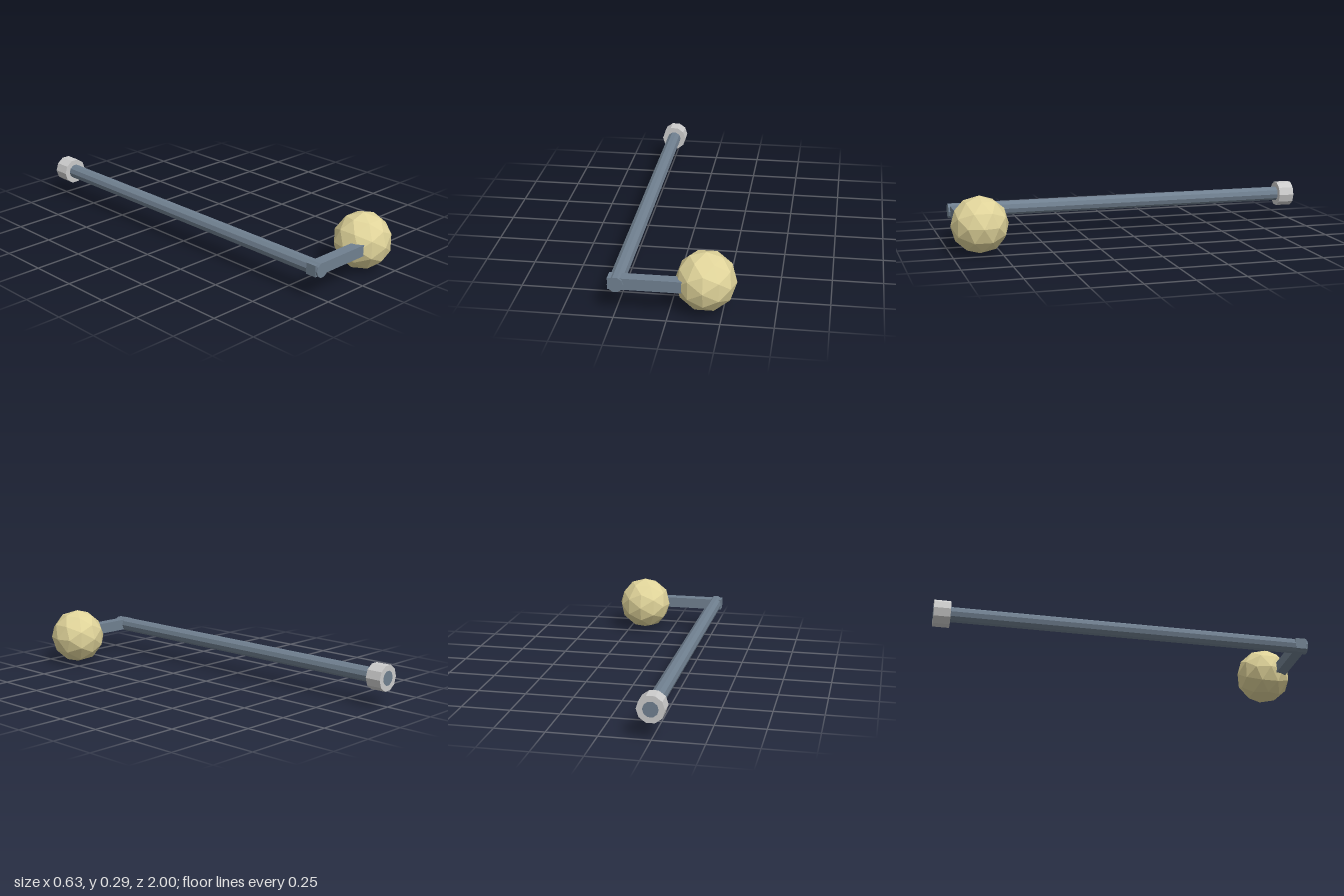
import * as THREE from 'three';

const AXIS_X = -0.246, AXIS_Y = 0.147;

function addPart(group, name, geometry, color, x, y, z) {
  const material = new THREE.MeshStandardMaterial({ color, flatShading: true });
  const mesh = new THREE.Mesh(geometry, material);
  mesh.name = name;
  mesh.position.set(x, y, z);
  group.add(mesh);
}

// Ten-sided bar along z, with corners on its left and right
function bar(radius, length) {
  return new THREE.CylinderGeometry(radius, radius, length, 10, 1, false, Math.PI / 2).rotateX(Math.PI / 2);
}

export function createModel() {
  const group = new THREE.Group();
  const slate = 0x708090;

  // Long shaft, its rear end just proud of the collar
  const back = -1, front = 0.955;
  addPart(group, 'shaft', bar(0.0385, front - back), slate, AXIS_X, AXIS_Y, (front + back) / 2);

  // Collar around the rear end
  addPart(group, 'collar', bar(0.068, 0.084), 0xcccccc, AXIS_X, AXIS_Y, -0.957);

  // Square crank arm reaching from the shaft into the knob
  addPart(group, 'crankArm', new THREE.BoxGeometry(0.353, 0.058, 0.058), slate, -0.1085, 0.148, 0.917);

  // Faceted ball knob
  addPart(group, 'knob', new THREE.IcosahedronGeometry(0.147, 1), 0xe0d49a, 0.167, AXIS_Y, 0.853);

  return group;
}
